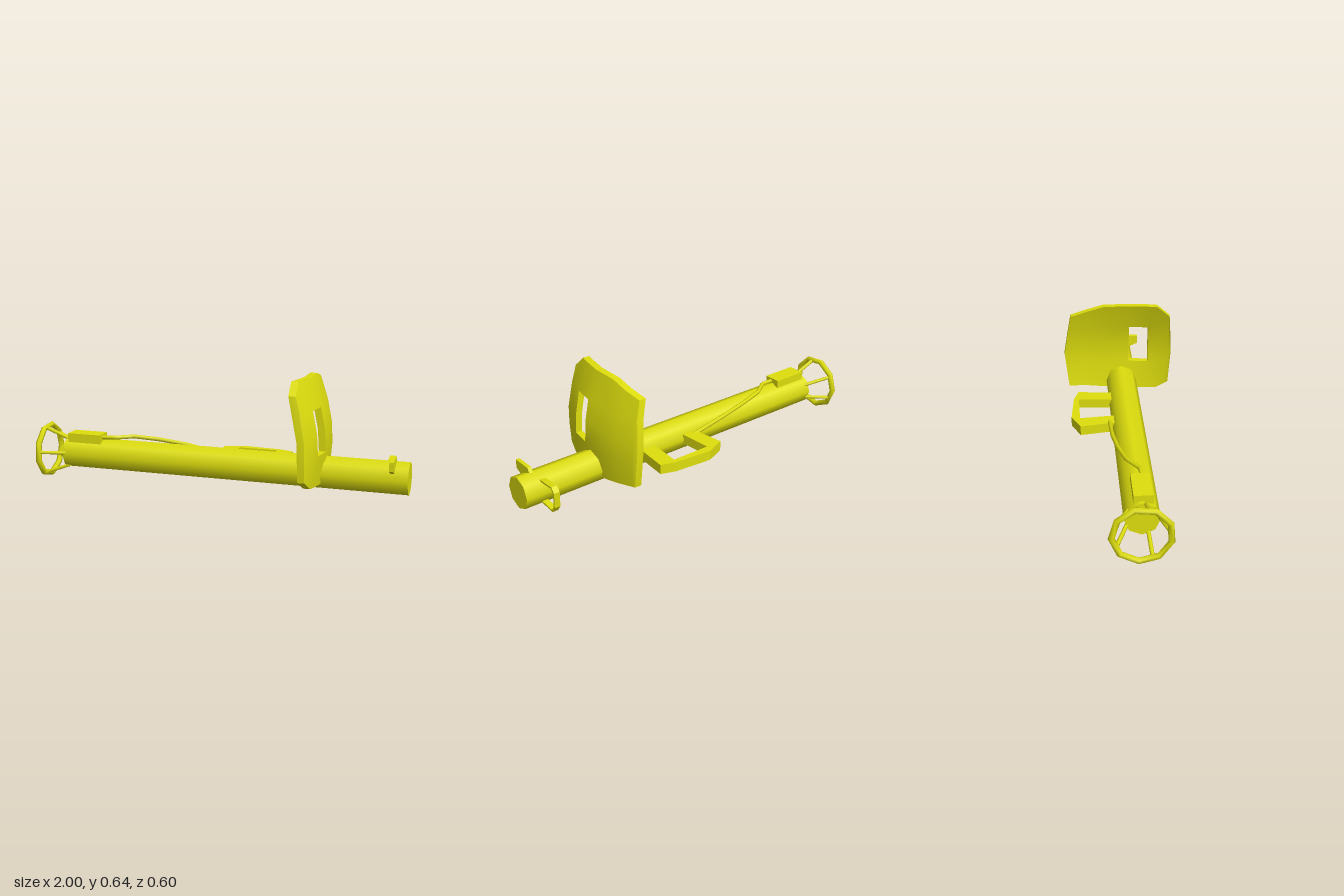
import * as THREE from 'three';
import { toCreasedNormals } from 'three/addons/utils/BufferGeometryUtils.js';

const AXIS_Y = 0.153, AXIS_Z = 0.023;
const rad = THREE.MathUtils.degToRad;
const vec = (x, y, z) => new THREE.Vector3(x, y, z);

// Extrude an outline of [u, v] points
function plate(points, depth) {
  const shape = new THREE.Shape(points.map(([u, v]) => new THREE.Vector2(u, v)));
  return new THREE.ExtrudeGeometry(shape, { depth, bevelEnabled: false });
}

// Plate standing across the barrel: points are [z, y], filling x0..x1
function crossPlate(points, x0, x1) {
  return plate(points.map(([z, y]) => [-z, y]), x1 - x0).rotateY(Math.PI / 2).translate(x0, 0, 0);
}

// Straight round bar between two points
function bar(a, b, radius) {
  const dir = b.clone().sub(a);
  const g = new THREE.CylinderGeometry(radius, radius, dir.length(), 6);
  g.applyQuaternion(new THREE.Quaternion().setFromUnitVectors(vec(0, 1, 0), dir.normalize()));
  const m = a.clone().add(b).multiplyScalar(0.5);
  return g.translate(m.x, m.y, m.z);
}

// Bulged shield: columns [z, bottom, top] crossed by rows, one cell left open as the window
function shieldGeometry() {
  const columns = [
    [0.302, 0.355, 0.355], [0.287, 0.157, 0.58], [0.219, 0.112, 0.641], [0.174, 0.11, 0.641],
    [0.066, 0.107, 0.64], [-0.08, 0.117, 0.64], [-0.17, 0.132, 0.617], [-0.262, 0.146, 0.594],
    [-0.277, 0.147, 0.498], [-0.3, 0.35, 0.35],
  ];
  const rows = [0, 0.269, 0.38, 0.494, 1];
  const thickness = 0.036;
  const point = (i, j) => {
    const [z, low, high] = columns[i];
    const y = THREE.MathUtils.clamp(rows[j], low, high);
    return vec(0.588 - 0.62 * z * z - 0.6 * (y - 0.27) ** 2, y, z);
  };
  const solid = (i, j) => i >= 0 && j >= 0 && i < columns.length - 1 && j < rows.length - 1
    && !(i === 3 && (j === 1 || j === 2));
  const pos = [];
  const quad = (a, b, c, d) => [a, b, c, a, c, d].forEach((p) => pos.push(p.x, p.y, p.z));
  const back = (p) => vec(p.x - thickness, p.y, p.z);
  for (let i = 0; i < columns.length - 1; i++) {
    for (let j = 0; j < rows.length - 1; j++) {
      if (!solid(i, j)) continue;
      const c = [point(i, j), point(i + 1, j), point(i + 1, j + 1), point(i, j + 1)];
      quad(...c);
      quad(back(c[3]), back(c[2]), back(c[1]), back(c[0]));
      // rim walls wherever the neighbouring cell is missing
      [[0, -1], [1, 0], [0, 1], [-1, 0]].forEach(([di, dj], k) => {
        if (solid(i + di, j + dj)) return;
        const p = c[k], q = c[(k + 1) % 4];
        quad(p, back(p), back(q), q);
      });
    }
  }
  const g = new THREE.BufferGeometry();
  g.setAttribute('position', new THREE.Float32BufferAttribute(pos, 3));
  return toCreasedNormals(g, rad(40));
}

export function createModel() {
  const model = new THREE.Group();
  model.name = 'shoulderLauncher';
  const paint = new THREE.MeshStandardMaterial({ color: 0xdede0e });
  paint.name = 'yellow paint';
  const add = (name, geometry, parent = model) => {
    const mesh = new THREE.Mesh(geometry, paint);
    mesh.name = name;
    parent.add(mesh);
    return mesh;
  };

  // Eight-sided barrel along x
  add('barrel', new THREE.CylinderGeometry(0.085, 0.085, 1.86, 8)
    .rotateZ(-Math.PI / 2).translate(0.07, AXIS_Y, AXIS_Z));

  // Rear guard: nine-sided ring held by five struts
  const guard = new THREE.Group();
  guard.name = 'rearGuard';
  model.add(guard);
  add('guardRing', new THREE.TorusGeometry(0.138, 0.016, 6, 9)
    .rotateZ(rad(-16)).rotateY(-Math.PI / 2).translate(-0.985, AXIS_Y, 0.012), guard);
  for (const angle of [-68, -153, 148, 76, 4]) {
    const c = Math.cos(rad(angle)), s = Math.sin(rad(angle));
    add('guardStrut', bar(
      vec(-0.982, AXIS_Y + 0.13 * s, 0.012 + 0.13 * c),
      vec(-0.845, AXIS_Y + 0.076 * s, AXIS_Z + 0.076 * c), 0.01), guard);
  }

  // Contact box and its cable running to the grip
  add('contactBox', new THREE.BoxGeometry(0.19, 0.052, 0.092).translate(-0.743, 0.239, 0.03));
  const cable = new THREE.CurvePath();
  const route = [
    vec(-0.66, 0.247, 0.04), vec(-0.58, 0.25, 0.036), vec(-0.49, 0.25, -0.025),
    vec(-0.36, 0.237, -0.055), vec(-0.2, 0.215, -0.073), vec(0.02, 0.172, -0.075),
  ];
  for (let i = 1; i < route.length; i++) cable.add(new THREE.LineCurve3(route[i - 1], route[i]));
  add('cable', new THREE.TubeGeometry(cable, 30, 0.011, 6));

  // Side grip, outline in x and -z
  add('sideGrip', plate([
    [0.02, 0.04], [-0.045, 0.23], [0.06, 0.275], [0.265, 0.257], [0.343, 0.23], [0.328, 0.04],
    [0.245, 0.04], [0.257, 0.23], [0.045, 0.23], [0.062, 0.04],
  ].map(([x, v], i) => (i === 0 ? [-0.015, v] : [x, v])), 0.052)
    .rotateX(-Math.PI / 2).translate(0, 0.13, 0));

  // Shield with sighting window
  add('shield', shieldGeometry());

  // Front sight plate and the loop on the other side
  add('frontSight', crossPlate([
    [0.145, 0.258], [0.145, 0.212], [0.095, 0.19], [0.03, 0.19], [0.018, 0.236], [0.035, 0.26],
  ], 0.913, 0.933));
  add('frontLoop', crossPlate([
    [-0.03, 0.218], [-0.135, 0.225], [-0.157, 0.2], [-0.155, 0.12], [-0.132, 0.087], [-0.03, 0.094],
    [-0.03, 0.104], [-0.127, 0.097], [-0.146, 0.123], [-0.147, 0.196], [-0.131, 0.215], [-0.03, 0.208],
  ], 0.877, 0.908));

  return model;
}
